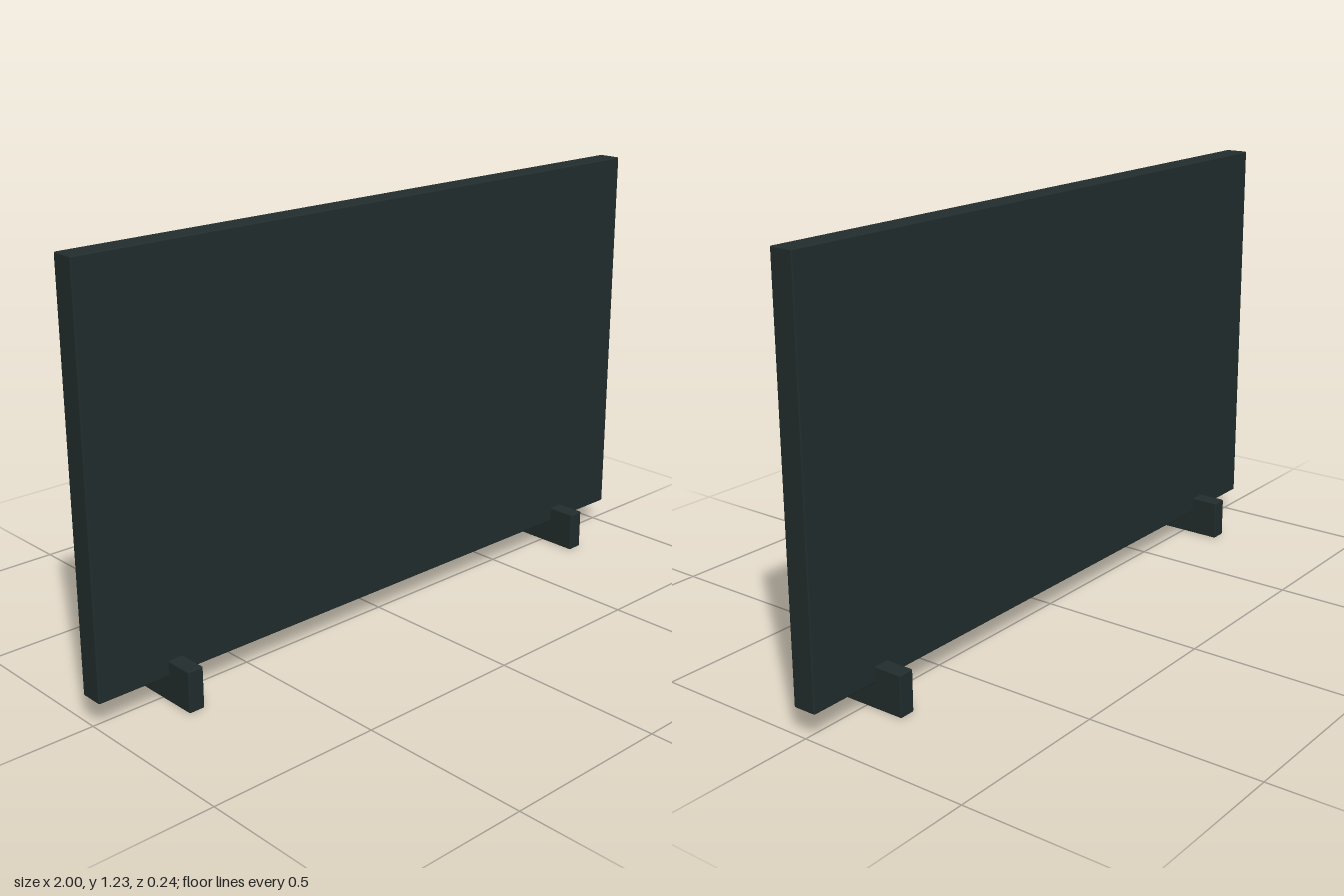
import * as THREE from 'three';
import { RoundedBoxGeometry } from 'three/addons/geometries/RoundedBoxGeometry.js';

export function createModel() {
  const model = new THREE.Group();
  model.name = 'partitionScreen';

  const darkSlate = new THREE.MeshStandardMaterial({ color: 0x222d2d });
  darkSlate.name = 'darkSlate';

  // Box with finely softened edges, placed by its underside
  function addBlock(name, width, height, depth, x, bottom) {
    const geometry = new RoundedBoxGeometry(width, height, depth, 2, 0.004);
    const mesh = new THREE.Mesh(geometry, darkSlate);
    mesh.name = name;
    mesh.position.set(x, bottom + height / 2, 0);
    model.add(mesh);
  }

  // Upright panel
  addBlock('panel', 2, 1.15, 0.07, 0, 0.075);

  // Feet gripping the panel's lower edge
  for (const side of [-1, 1]) {
    addBlock(side > 0 ? 'leftFoot' : 'rightFoot', 0.048, 0.12, 0.24, side * 0.76, 0);
  }

  return model;
}
